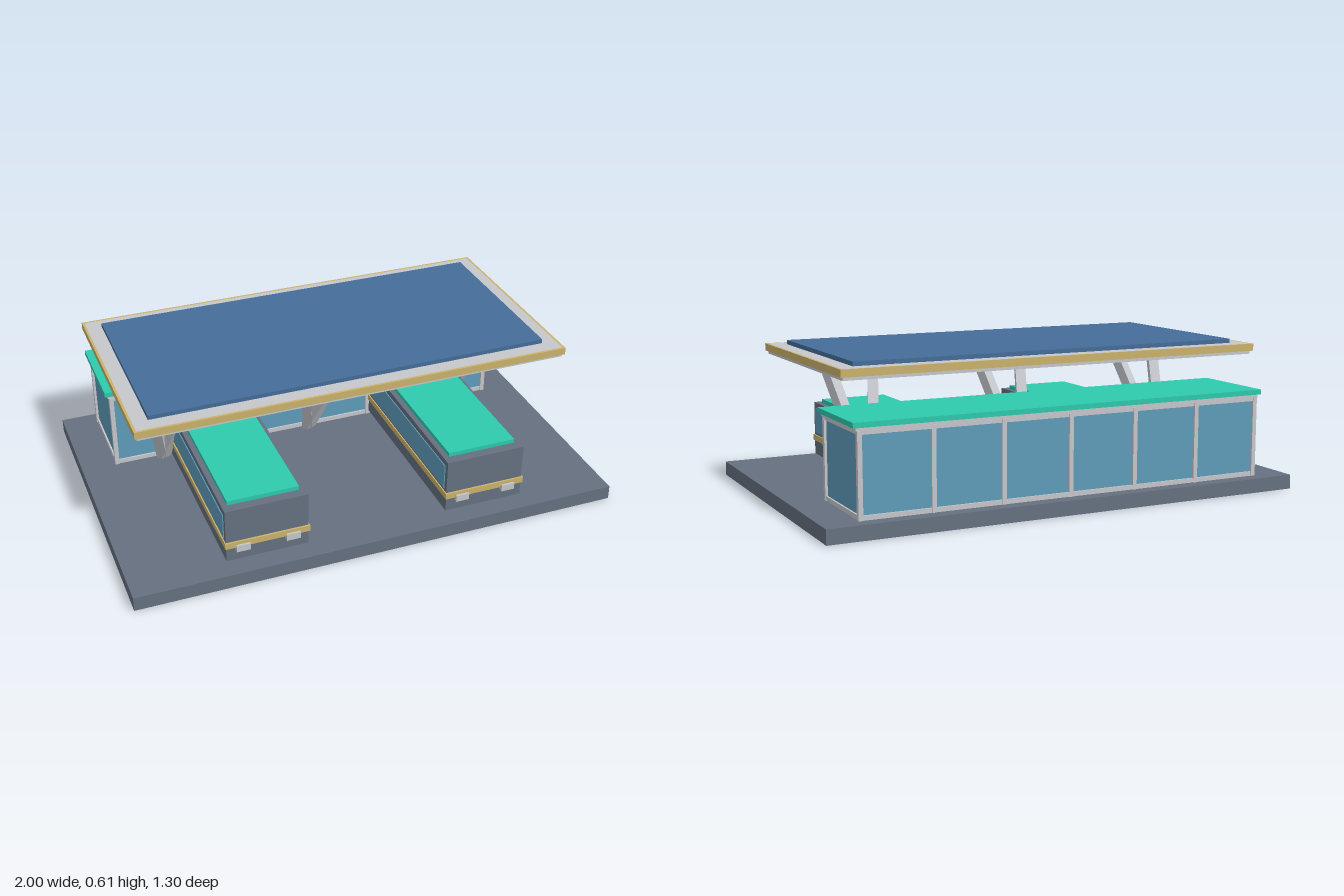
import * as THREE from 'three';

const mat = (name, color) => {
  const m = new THREE.MeshStandardMaterial({ color });
  m.name = name;
  return m;
};

export function createModel() {
  const slate = mat('slate', 0x667080);
  const pale = mat('pale grey', 0xc6c7cc);
  const gold = mat('gold', 0xcbb36c);
  const teal = mat('teal', 0x2ecaad);
  const glass = mat('glass blue', 0x5f9cba);
  const solar = mat('solar blue', 0x456d99);

  const model = new THREE.Group();
  model.name = 'busStation';
  const group = (name) => {
    const g = new THREE.Group();
    g.name = name;
    model.add(g);
    return g;
  };
  // Box given by its extents along each axis
  const box = (parent, name, material, [x0, x1], [y0, y1], [z0, z1]) => {
    const mesh = new THREE.Mesh(new THREE.BoxGeometry(x1 - x0, y1 - y0, z1 - z0), material);
    mesh.position.set((x0 + x1) / 2, (y0 + y1) / 2, (z0 + z1) / 2);
    mesh.name = name;
    parent.add(mesh);
    return mesh;
  };

  // Paved base
  box(model, 'base', slate, [-1, 1], [0, 0.058], [-0.65, 0.65]);

  // Canopy: slab, gold fascia on four sides and solar panel
  const canopy = group('canopy');
  box(canopy, 'canopySlab', pale, [-0.88, 0.88], [0.549, 0.591], [-0.512, 0.372]);
  for (const s of [-1, 1]) {
    box(canopy, 'sideFascia', gold, s < 0 ? [-0.89, -0.88] : [0.88, 0.89], [0.562, 0.591], [-0.522, 0.382]);
    box(canopy, 'endFascia', gold, [-0.88, 0.88], [0.562, 0.591], s < 0 ? [-0.522, -0.512] : [0.372, 0.382]);
  }
  box(canopy, 'solarPanel', solar, [-0.82, 0.82], [0.591, 0.608], [-0.455, 0.312]);

  // Leaning V supports
  const supports = group('supports');
  for (const x of [-0.655, 0, 0.655]) {
    for (const s of [-1, 1]) {
      const foot = new THREE.Vector3(x, 0.05, -0.231);
      const top = new THREE.Vector3(x + s * 0.1, 0.56, 0.04);
      const leg = new THREE.Mesh(new THREE.BoxGeometry(0.042, 0.042, foot.distanceTo(top)), pale);
      leg.position.copy(foot).lerp(top, 0.5);
      leg.lookAt(top);
      leg.name = 'supportLeg';
      supports.add(leg);
    }
  }

  // Glazed waiting hall
  const hall = group('hall');
  const back = -0.596, front = -0.225, side = 0.86;
  box(hall, 'glazing', glass, [-0.85, 0.85], [0.058, 0.38], [back + 0.01, front - 0.01]);
  box(hall, 'roofUnderlay', pale, [-0.865, 0.865], [0.38, 0.393], [back + 0.004, front - 0.004]);
  box(hall, 'hallRoof', teal, [-0.877, 0.877], [0.393, 0.413], [-0.6, -0.222]);
  // Posts along both long walls
  for (let i = 0; i <= 6; i++) {
    const x = -0.851 + (i * 1.702) / 6;
    for (const z of [back, front - 0.018]) {
      box(hall, 'post', pale, [x - 0.009, x + 0.009], [0.058, 0.381], [z, z + 0.018]);
    }
  }
  // Sill and head rails around all walls
  for (const [y0, y1] of [[0.058, 0.076], [0.367, 0.381]]) {
    for (const z of [back + 0.003, front - 0.015]) {
      box(hall, 'longRail', pale, [-side + 0.002, side - 0.002], [y0, y1], [z, z + 0.012]);
    }
    for (const x of [-side + 0.003, side - 0.015]) {
      box(hall, 'endRail', pale, [x, x + 0.012], [y0, y1], [back + 0.004, front - 0.004]);
    }
  }

  // Two parked buses
  for (const x of [-0.455, 0.455]) {
    const bus = group('bus');
    bus.position.x = x;
    box(bus, 'busBody', slate, [-0.165, 0.165], [0.073, 0.3], [-0.237, 0.58]);
    box(bus, 'busRoof', teal, [-0.143, 0.143], [0.3, 0.317], [-0.197, 0.54]);
    box(bus, 'busBand', gold, [-0.17, 0.17], [0.133, 0.158], [-0.242, 0.588]);
    for (const s of [-1, 1]) {
      box(bus, 'sideWindow', glass, s < 0 ? [-0.169, -0.164] : [0.164, 0.169], [0.17, 0.275], [-0.217, 0.56]);
      box(bus, 'headlight', pale, [s * 0.1 - 0.028, s * 0.1 + 0.028], [0.117, 0.145], [0.575, 0.597]);
    }
  }

  return model;
}
